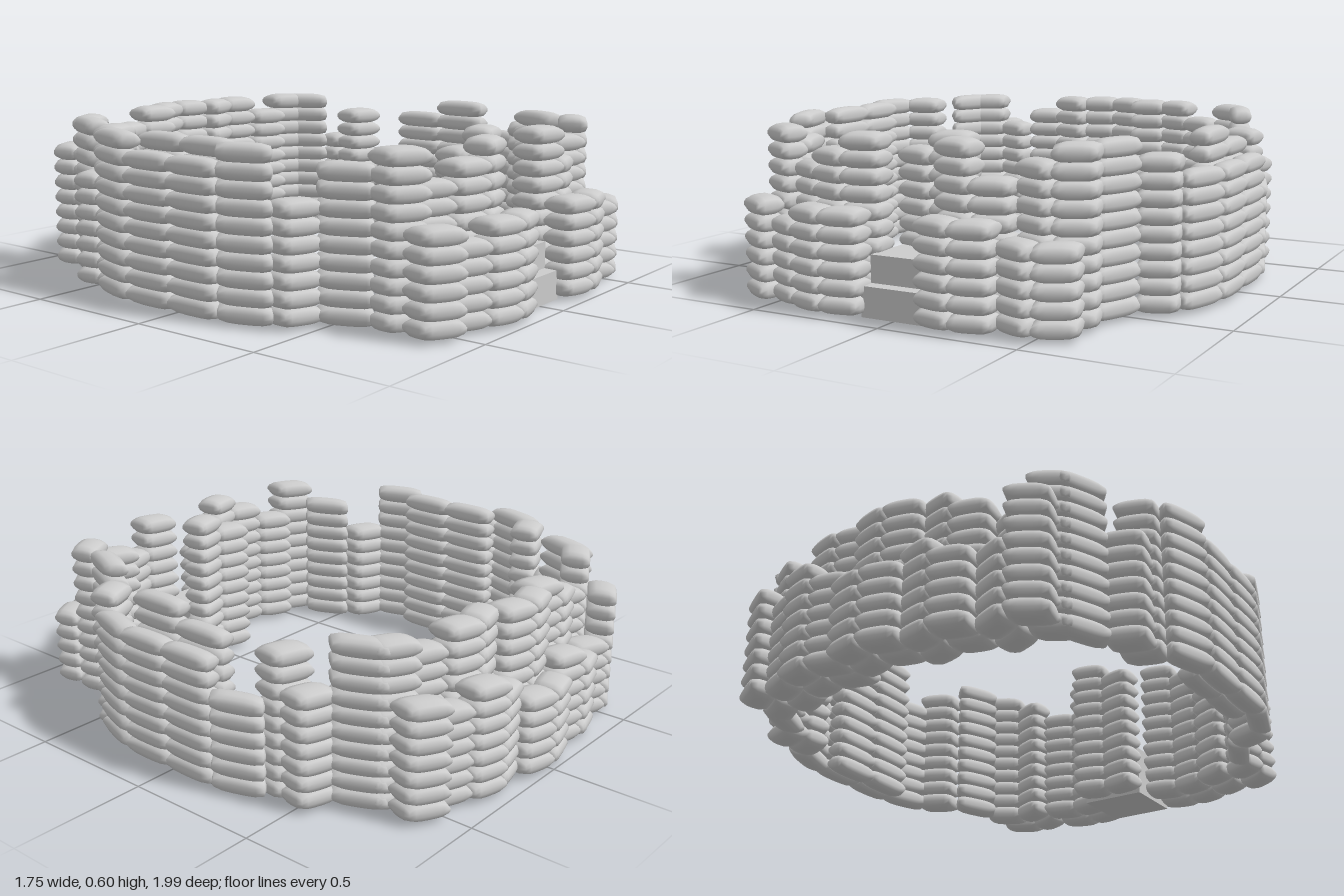
import * as THREE from 'three';
import { mergeVertices } from 'three/addons/utils/BufferGeometryUtils.js';

const STRETCH = 1.56;   // the whole ring is stretched front to back
const PITCH = 0.058;    // height of one course of bags
const BASE = 0.012;

// Columns as [x, z, turn, courses at +x, courses at -x, turn at -x (mirrored if absent)]
const frontInner = [
  [0.18, 0.79, 8, 10, 10], [0.307, 0.787, -10, 8, 9],
  [0.435, 0.733, 15, 9, 8, 17], [0.563, 0.72, -20, 10, 10],
];
const frontOuter = [
  [0.18, 0.92, 8, 6, 6], [0.307, 0.918, -10, 6, 6],
  [0.435, 0.868, 15, 5, 5, 17], [0.563, 0.855, -20, 5, 6],
];
const entranceScreen = [[0.065, 0.628, -9, 10, 9]];
const sides = [
  [0.615, 0.55, -57, 10, 9], [0.717, 0.42, -15, 9, 7], [0.805, 0.29, -63, 8, 10],
  [0.765, 0.1, 90, 10, 10], [0.835, 0.1, 90, 8, 9],
  [0.765, -0.1, 90, 9, 10], [0.835, -0.1, 90, 8, 9],
  [0.813, -0.29, 63, 6, 10], [0.715, -0.41, 12, 9, 10],
  [0.72, -0.515, 12, 7, 7], [0.625, -0.64, 56, 10, 10],
];
const backInner = [
  [0.065, -0.83, 9, 10, 10], [0.18, -0.783, -9, 10, 10], [0.307, -0.787, 10, 10, 9],
  [0.435, -0.728, 15, 9, 8, 15], [0.563, -0.715, 20, 10, 10],
];
const backOuter = [
  [0.065, -0.932, 9, 5, 5], [0.185, -0.89, -9, 6, 6], [0.31, -0.897, 10, 7, 5],
  [0.435, -0.84, 15, 6, 5, 15], [0.558, -0.837, 20, 7, 8],
];

// One plump bag: a grid box bulged at the waist and thinned towards its rim
function bagGeometry(length, height, depth) {
  let g = new THREE.BoxGeometry(2, 2, 2, 6, 3, 4);
  g.deleteAttribute('normal');
  g.deleteAttribute('uv');
  g = mergeVertices(g);
  const p = g.attributes.position;
  for (let i = 0; i < p.count; i++) {
    const u = p.getX(i), v = p.getY(i), w = p.getZ(i);
    const rim = Math.pow(Math.abs(v), 3);
    const thick = 1 - 0.26 * Math.pow(Math.abs(u), 4) - 0.26 * Math.pow(Math.abs(w), 3);
    p.setXYZ(i,
      u * (1 - 0.07 * rim - 0.03 * w * w) * length / 2,
      v * thick * height / 2,
      w * (1 - 0.12 * rim - 0.03 * u * u) * depth / 2);
  }
  g.computeVertexNormals();
  return g;
}

export function createModel() {
  const model = new THREE.Group();
  model.name = 'sandbagEmplacement';
  const material = new THREE.MeshStandardMaterial({ color: 0xcccccc });
  const bag = bagGeometry(0.136, PITCH + 0.008, 0.074);

  const ring = new THREE.Group();
  ring.name = 'sandbagRing';
  ring.scale.z = STRETCH;
  model.add(ring);

  function addColumn(wall, x, z, turn, courses) {
    const column = new THREE.Group();
    column.name = 'bagColumn';
    column.position.set(x, BASE, z / STRETCH);
    column.rotation.y = -THREE.MathUtils.degToRad(turn);
    for (let i = 0; i < courses; i++) {
      const mesh = new THREE.Mesh(bag, material);
      mesh.name = 'sandbag';
      mesh.position.y = (i + 0.5) * PITCH;
      column.add(mesh);
    }
    wall.add(column);
  }

  // Walls, each column paired across the centre line
  const walls = { frontInner, frontOuter, entranceScreen, sides, backInner, backOuter };
  for (const [name, columns] of Object.entries(walls)) {
    const wall = new THREE.Group();
    wall.name = name + 'Wall';
    for (const [x, z, turn, nLeft, nRight, otherTurn = -turn] of columns) {
      addColumn(wall, x, z, turn, nLeft);
      addColumn(wall, -x, z, otherTurn, nRight);
    }
    ring.add(wall);
  }

  // Two entrance steps between the front walls
  function addStep(name, width, y0, y1, z0, z1) {
    const mesh = new THREE.Mesh(new THREE.BoxGeometry(width, y1 - y0, z1 - z0), material);
    mesh.name = name;
    mesh.position.set(0, (y0 + y1) / 2, (z0 + z1) / 2);
    model.add(mesh);
  }
  addStep('lowerStep', 0.25, 0, 0.105, 0.66, 0.91);
  addStep('upperStep', 0.24, 0.105, 0.2, 0.66, 0.86);

  return model;
}
